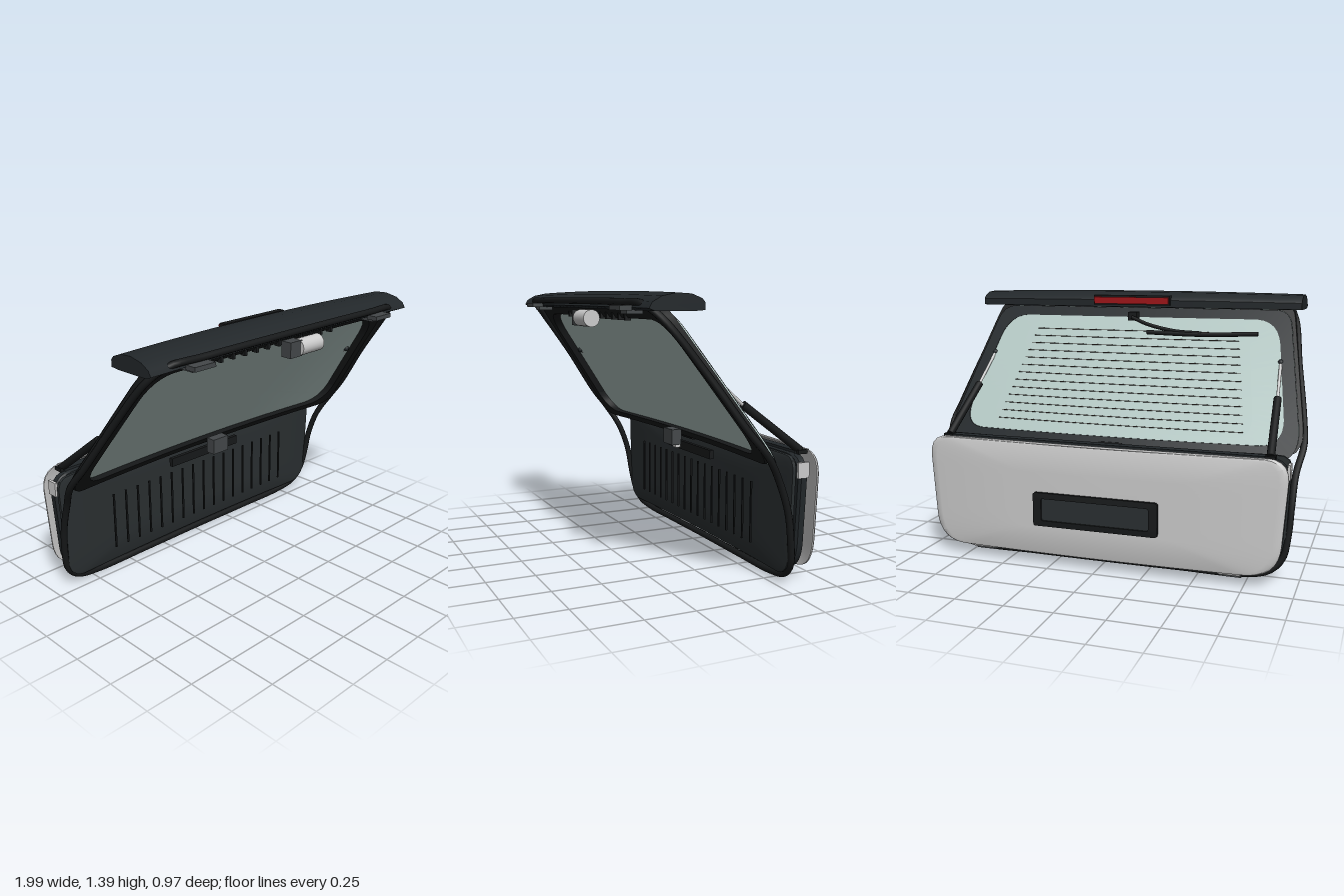
import * as THREE from 'three';
import { toCreasedNormals } from 'three/addons/utils/BufferGeometryUtils.js';

const V = (x, y, z) => new THREE.Vector3(x, y, z);
const mat = (color) => new THREE.MeshStandardMaterial({ color, side: THREE.DoubleSide });
const black = mat(0x17191a), dark = mat(0x22272a), trim = mat(0x2a2f31), mid = mat(0x44484a);
const grey = mat(0xcccccc), red = mat(0xa01418), glassMat = mat(0xb2c6c2), brown = mat(0x3b3430);

// Skin a list of closed point rings; creases stay sharp
function loft(rings) {
  const n = rings[0].length, pos = [], idx = [];
  rings.forEach((r) => r.forEach((p) => pos.push(p.x, p.y, p.z)));
  for (let i = 0; i < rings.length - 1; i++) {
    for (let j = 0; j < n; j++) {
      const k = (j + 1) % n, a = i * n + j, b = a + n, c = (i + 1) * n + k, d = i * n + k;
      idx.push(a, b, c, a, c, d);
    }
  }
  const g = new THREE.BufferGeometry();
  g.setAttribute('position', new THREE.Float32BufferAttribute(pos, 3));
  g.setIndex(idx);
  return toCreasedNormals(g, 0.6);
}

// Symmetric outline with rounded corners, from the right-hand corners [x, y, radius], bottom to top
function outline(corners) {
  const all = [...corners, ...corners.slice().reverse().map(([x, y, r]) => [-x, y, r])];
  const path = new THREE.Path();
  path.moveTo(0, corners[0][1]);
  all.forEach(([x, y, r], i) => {
    const p = new THREE.Vector2(x, y), at = (q) => new THREE.Vector2(q[0], q[1]).sub(p).setLength(r).add(p);
    const a = at(all[(i + all.length - 1) % all.length]), b = at(all[(i + 1) % all.length]);
    path.lineTo(a.x, a.y);
    path.quadraticCurveTo(x, y, b.x, b.y);
  });
  path.closePath();
  return path.getSpacedPoints(144).slice(0, 144);
}

const scaled = (pts, s, cy) => pts.map((p) => new THREE.Vector2(p.x * s, cy + (p.y - cy) * s));
const raise = (pts, zAt) => pts.map((p) => V(p.x, p.y, zAt(p.x, p.y)));

// Solid bowed panel: rings are [scale, z]
function panel(pts, cy, bow, profile) {
  return loft(profile.map(([s, z]) => raise(scaled(pts, s, cy), (x) => z - bow * (1 - x * x))));
}

// Slanted window surface, bowed more towards the bottom
const windowZ = (x, y) => 0.128 + 0.7 * (y - 1) - (0.03 - 0.05 * (y - 1)) * (1 - x * x);
const onWindow = (off) => (x, y) => windowZ(x, y) + off;

function windowRing(outer, inner, front, back) {
  const f = onWindow(front), b = onWindow(back);
  return loft([raise(inner, f), raise(outer, f), raise(outer, b), raise(inner, b), raise(inner, f)]);
}

export function createModel() {
  const root = new THREE.Group();
  const add = (name, geo, material) => {
    const m = new THREE.Mesh(geo, material);
    m.name = name;
    root.add(m);
    return m;
  };
  const box = (name, w, h, d, x, y, z, material) => {
    const m = add(name, new THREE.BoxGeometry(w, h, d), material);
    m.position.set(x, y, z);
    return m;
  };
  const rod = (name, a, b, r, material, sides = 16) => {
    const m = add(name, new THREE.CylinderGeometry(r, r, a.distanceTo(b), sides), material);
    m.position.copy(a).lerp(b, 0.5);
    m.quaternion.setFromUnitVectors(V(0, 1, 0), b.clone().sub(a).normalize());
    return m;
  };
  const tube = (name, pts, r, material) =>
    add(name, new THREE.TubeGeometry(new THREE.CatmullRomCurve3(pts), 24, r, 8), material);

  // Window: inner frame, glass and black border
  const frameOuter = outline([[0.965, 0.6, 0.08], [0.975, 0.7, 0.04], [0.85, 1.33, 0.08]]);
  const frameInner = outline([[0.915, 0.635, 0.13], [0.9, 0.75, 0.04], [0.8, 1.255, 0.13]]);
  add('windowFrame', windowRing(frameOuter, frameInner, 0.025, -0.02), black);
  const pane = outline([[0.95, 0.58, 0.1], [0.955, 0.7, 0.04], [0.84, 1.29, 0.08]]);
  const paneLoops = [0, 0.25, 0.5, 0.75, 1];
  const side = (s, off) => raise(scaled(pane, s, 0.95), onWindow(off));
  add('windowGlass', loft([...paneLoops.map((s) => side(s, -0.024)),
    ...paneLoops.slice().reverse().map((s) => side(s, -0.034))]), glassMat);
  const opening = outline([[0.89, 0.645, 0.13], [0.875, 0.75, 0.04], [0.785, 1.24, 0.13]]);
  add('glassBorder', windowRing(pane, opening, -0.032, -0.038), dark);

  // Heating wires
  for (let i = 0; i < 13; i++) {
    const y = 0.7 + i * 0.039, w = 0.68 - i * 0.008;
    tube('heatingWire', [-1, -0.5, 0, 0.5, 1].map((t) => V(t * w, y, windowZ(t * w, y) - 0.036)), 0.002, brown);
  }

  // Weather seal all round the opening
  const half = [[0.4, 0.017, -0.312], [0.72, 0.019, -0.31], [0.85, 0.045, -0.302], [0.915, 0.11, -0.292],
    [0.938, 0.22, -0.275], [0.947, 0.37, -0.25], [0.955, 0.52, -0.195], [0.98, 0.65, -0.115],
    [0.965, 0.76, -0.025], [0.91, 1.02, 0.158], [0.855, 1.26, 0.345], [0.79, 1.325, 0.41], [0.6, 1.333, 0.425]];
  const loop = [V(0, 0.017, -0.315), ...half.map((p) => V(...p)), V(0, 1.335, 0.425),
    ...half.slice().reverse().map(([x, y, z]) => V(-x, y, z))];
  add('weatherSeal', new THREE.TubeGeometry(new THREE.CatmullRomCurve3(loop, true), 200, 0.017, 10, true), black);

  // Lower door: trim panel, inner structure and outer skin
  add('trimPanel', panel(outline([[0.88, 0.05, 0.06], [0.925, 0.13, 0.05], [0.95, 0.63, 0.07]]), 0.34, 0.028,
    [[0, -0.262], [0.5, -0.262], [0.96, -0.262], [1, -0.268], [1, -0.285], [0.5, -0.285], [0, -0.285]]), trim);
  const doorOutline = (wt, yt, wb, yb) => outline([[wb, yb, 0.16], [wt, yt, 0.12]]);
  add('innerStructure', panel(doorOutline(0.95, 0.63, 0.91, 0.055), 0.34, 0.022,
    [[0, -0.325], [0.5, -0.325], [0.93, -0.325], [0.95, -0.31], [0.985, -0.31], [1, -0.32],
      [1, -0.35], [0.97, -0.363], [0.5, -0.363], [0, -0.363]]), dark);
  add('outerSkin', panel(doorOutline(0.957, 0.64, 0.915, 0.055), 0.34, 0.032,
    [[0, -0.414], [0.5, -0.414], [0.95, -0.41], [0.985, -0.4], [1, -0.4], [1, -0.408],
      [0.985, -0.42], [0.955, -0.424], [0.5, -0.426], [0, -0.426]]), grey);

  // Top lips of the structure and the skin
  box('structureLip', 1.72, 0.02, 0.05, 0, 0.632, -0.362, dark);
  tube('skinLip', [V(-0.85, 0.636, -0.42), V(0, 0.64, -0.452), V(0.85, 0.636, -0.42)], 0.006, grey);

  // Vertical ribs in front of the trim
  for (let i = 0; i < 17; i++) box('trimRib', 0.009, 0.31, 0.008, -0.64 + i * 0.08, 0.305, -0.237, black);

  // Plate holder
  const holder = outline([[0.33, 0.215, 0.012], [0.33, 0.39, 0.012]]);
  const recess = outline([[0.285, 0.245, 0.008], [0.285, 0.36, 0.008]]);
  const flat = (p, z) => raise(p, () => z);
  add('plateHolder', loft([flat(recess, -0.463), flat(holder, -0.463), flat(holder, -0.48),
    flat(recess, -0.483), flat(recess, -0.463)]), black);
  box('plateRecess', 0.58, 0.125, 0.008, 0, 0.302, -0.47, trim);

  // Roof spoiler, swept along x
  const section = [[0.43, 1.31], [0.415, 1.34], [0.37, 1.369], [0.3, 1.385], [0.23, 1.38],
    [0.18, 1.358], [0.165, 1.338], [0.165, 1.3], [0.21, 1.296], [0.4, 1.296]];
  const cut = (x, s) => section.map(([z, y]) => V(x, 1.296 + (1.325 + (y - 1.325) * s - 1.296) * (1 - 0.15 * x * x),
    0.3 + (z - 0.3) * s + 0.025 * x * x - 0.014));
  const stations = Array.from({ length: 17 }, (_, i) => -0.91 + i * 0.11375);
  add('roofSpoiler', loft([cut(-0.91, 0), ...stations.map((x) => cut(x, 1)), cut(0.91, 0)]), dark);

  // High brake light
  box('brakeLightHousing', 0.43, 0.052, 0.036, 0, 1.338, 0.145, black);
  box('brakeLightLens', 0.42, 0.036, 0.014, 0, 1.336, 0.122, red);

  // Clips along the top of the window
  for (let i = 0; i < 11; i++) box('windowClip', 0.016, 0.035, 0.03, -0.4 + i * 0.08, 1.262, 0.318, black);

  // Wiper motor in front, wiper on the back
  rod('wiperMotor', V(0.03, 1.25, 0.418), V(0.185, 1.25, 0.418), 0.043, grey, 24);
  box('wiperGearbox', 0.085, 0.08, 0.06, 0, 1.25, 0.41, mid);
  box('wiperPivot', 0.05, 0.045, 0.05, 0, 1.25, 0.172, black);
  tube('wiperArm', [V(0, 1.245, 0.14), V(-0.1, 1.21, 0.115), V(-0.25, 1.18, 0.1), V(-0.4, 1.172, 0.09)], 0.01, black);
  tube('wiperBlade', [V(-0.7, 1.175, 0.1), V(-0.4, 1.165, 0.09), V(-0.1, 1.17, 0.093)], 0.012, black);

  // Latch, handle and lock
  box('latchCover', 0.11, 0.085, 0.055, 0, 0.597, -0.118, mid);
  box('latchStriker', 0.035, 0.03, 0.03, 0, 0.548, -0.145, grey);
  rod('lockCylinder', V(-0.065, 0.6, -0.22), V(0.065, 0.6, -0.22), 0.022, black);
  box('lockTab', 0.06, 0.025, 0.03, 0, 0.597, -0.24, mid);
  box('pullHandle', 0.5, 0.048, 0.022, 0, 0.525, -0.228, black);

  for (const s of [-1, 1]) {
    // Gas struts
    const top = V(s * 0.82, 1.03, 0.115), joint = V(s * 0.835, 0.87, -0.065), foot = V(s * 0.855, 0.64, -0.37);
    rod('strutRod', top, joint, 0.008, grey, 12);
    rod('strutBody', joint, foot, 0.02, black);
    const ball = add('strutBall', new THREE.SphereGeometry(0.016, 16, 12), dark);
    ball.position.copy(top);
    box('strutBracket', 0.05, 0.02, 0.05, s * 0.855, 0.635, -0.37, black);

    // Top hinges
    box('hingePlate', 0.125, 0.022, 0.06, s * 0.645, 1.308, 0.455, mid);
    box('hingeArm', 0.07, 0.02, 0.08, s * 0.645, 1.29, 0.4, mid);

    // Side stops, lower brackets and rollers
    box('sideStop', 0.014, 0.075, 0.06, s * 0.942, 0.563, -0.33, grey);
    box('lowerBracket', 0.11, 0.05, 0.022, s * 0.67, 0.035, -0.335, mid);
    rod('lowerRoller', V(s * 0.615, 0.046, -0.37), V(s * 0.725, 0.046, -0.37), 0.019, grey);
  }
  return root;
}
